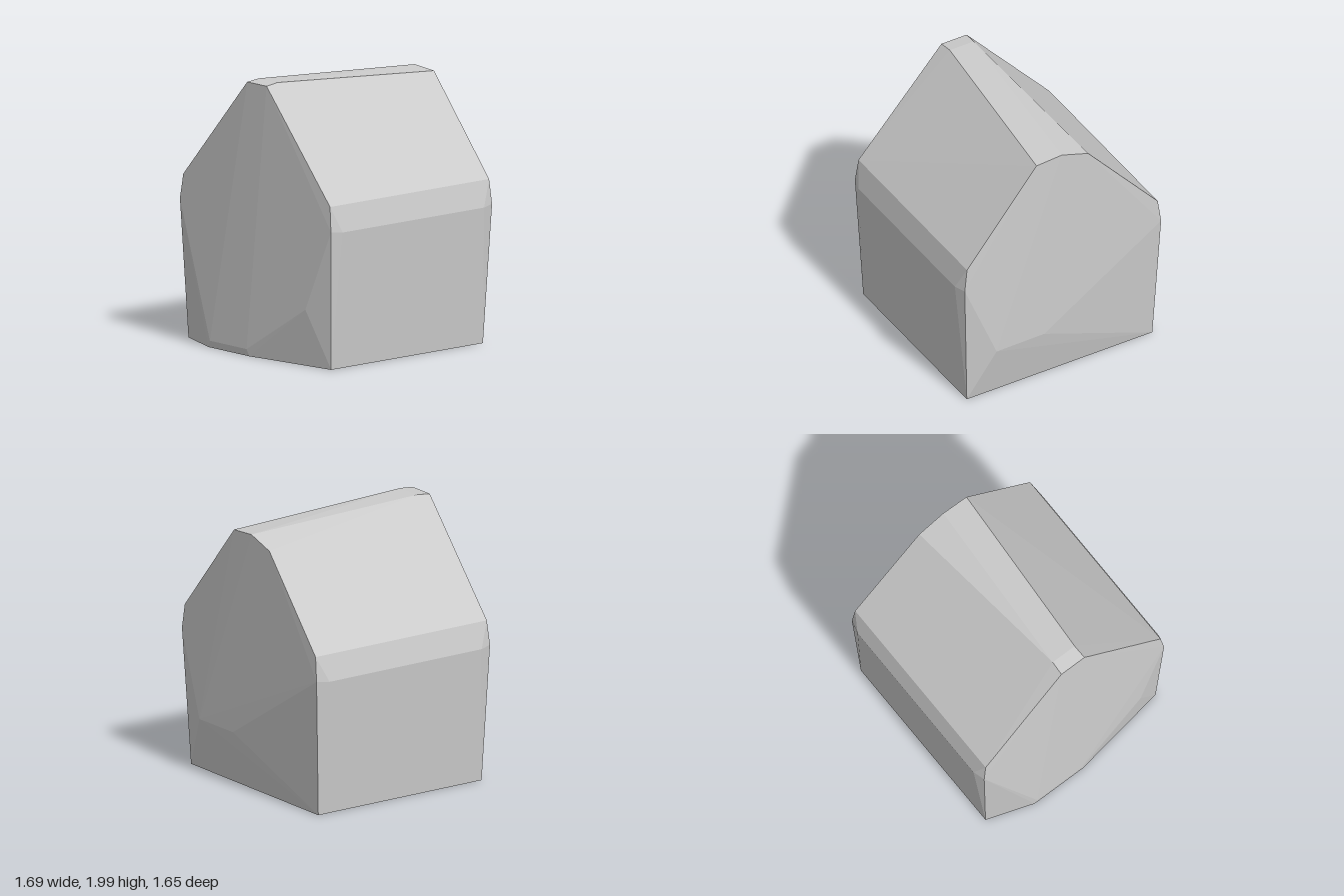
import * as THREE from 'three';
import { ConvexGeometry } from 'three/addons/geometries/ConvexGeometry.js';

const v = (x, y, z) => new THREE.Vector3(x, y, z);

export function createModel() {
  const model = new THREE.Group();
  model.name = 'houseBlock';
  const points = [];

  // Mirrored side walls: base corners, bevelled shoulders and eaves
  for (const s of [-1, 1]) {
    points.push(
      v(s * 0.775, 0.01, 0.7), v(s * 0.775, 0.01, -0.75),
      v(s * 0.845, 1.02, 0.65), v(s * 0.845, 1.02, -0.7),
      v(s * 0.82, 1.03, 0.742), v(s * 0.82, 1.03, -0.798),
      v(s * 0.797, 1.21, 0.73), v(s * 0.797, 1.21, -0.79),
      // Front end of the ridge
      v(s * 0.105, 1.988, 0.728), v(s * 0.1, 2, 0.62)
    );
  }

  // Back end of the ridge, lower and wider
  points.push(v(-0.22, 1.86, -0.78), v(0, 1.93, -0.78), v(0.21, 1.915, -0.78));

  // Front gable bulging outward at the base
  points.push(
    v(-0.42, 0.01, 0.82), v(0.02, 0.01, 0.82),
    v(-0.4, 0.06, 0.826), v(0, 0.06, 0.826),
    v(0.58, 0.43, 0.775)
  );

  // Back gable bulge
  points.push(v(0.57, 0.41, -0.825), v(0.17, 0.41, -0.82));

  const body = new THREE.Mesh(
    new ConvexGeometry(points),
    new THREE.MeshStandardMaterial({ color: 0xcccccc, flatShading: true })
  );
  body.name = 'gabledBody';
  model.add(body);
  return model;
}
